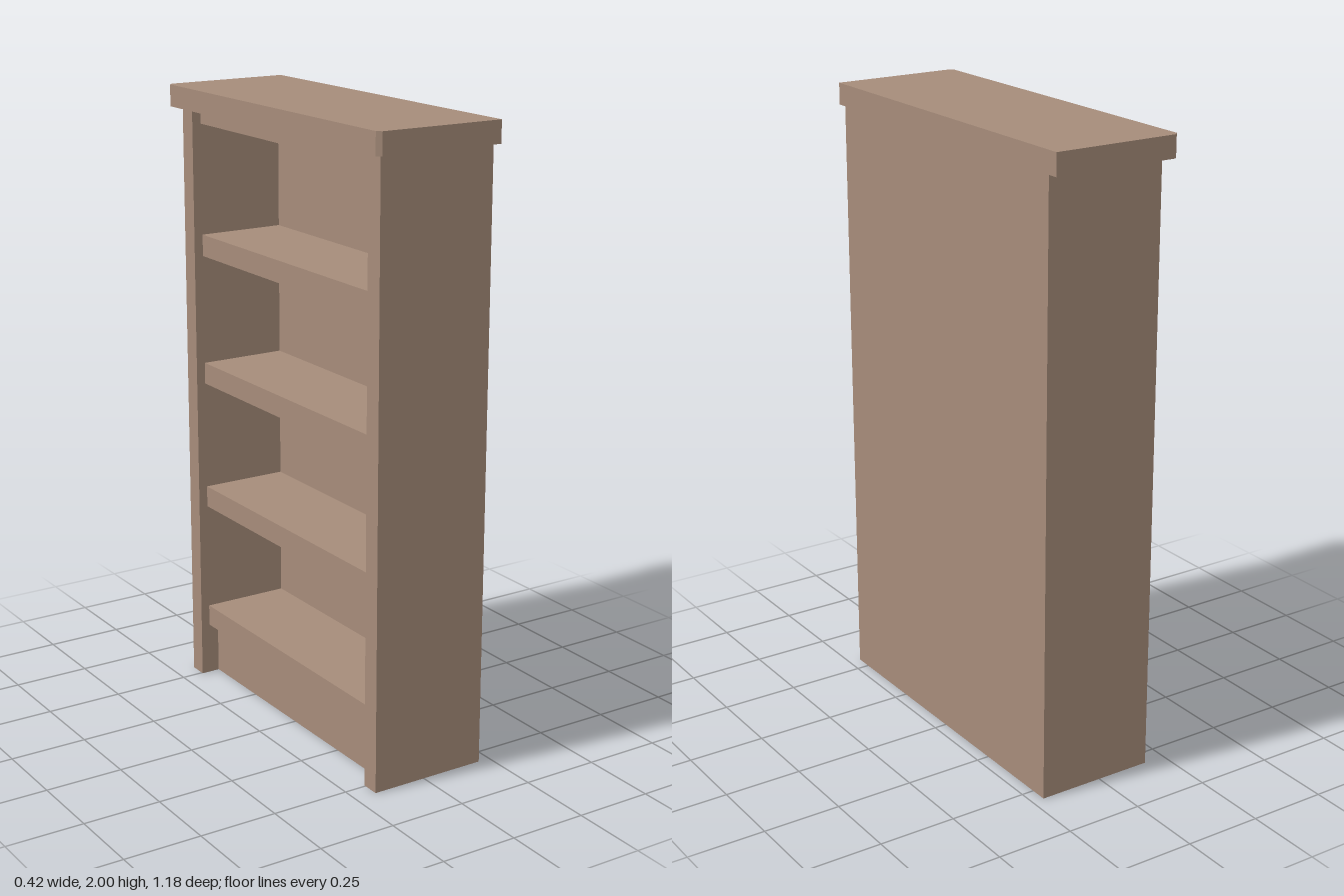
import * as THREE from 'three';

export function createModel() {
  const group = new THREE.Group();
  group.name = 'bookcase';
  const wood = new THREE.MeshStandardMaterial({ color: 0xa68c7a });
  wood.name = 'brown wood';

  const add = (name, geometry) => {
    const mesh = new THREE.Mesh(geometry, wood);
    mesh.name = name;
    group.add(mesh);
    return mesh;
  };
  // Box given by its lower and upper limits on each axis
  const box = (name, x0, x1, y0, y1, z0, z1) =>
    add(name, new THREE.BoxGeometry(x1 - x0, y1 - y0, z1 - z0))
      .position.set((x0 + x1) / 2, (y0 + y1) / 2, (z0 + z1) / 2);

  const back = 0.21, front = -0.178, inner = 0.14, shelfFront = -0.148;
  const halfWidth = 0.555, side = 0.495, lidBottom = 1.931;

  // Carcass: two sides and the back; the shelves open towards -x
  box('leftSide', front, back, 0, lidBottom, side, halfWidth);
  box('rightSide', front, back, 0, lidBottom, -halfWidth, -side);
  box('backPanel', inner, back, 0, lidBottom, -side, side);

  // Recessed plinth under the lowest shelf
  box('plinth', -0.115, inner, 0, 0.173, -side, side);

  // Evenly spaced shelves
  for (let i = 0; i < 4; i++) {
    const top = 0.243 + i * 0.427;
    box('shelf' + (i + 1), shelfFront, inner, top - 0.07, top, -side, side);
  }
  box('topRail', shelfFront, inner, 1.881, lidBottom, -side, side);

  // Overhanging lid with its two open-side corners clipped
  const z = 0.59, c = 0.013, x = -0.21;
  const outline = new THREE.Shape([
    [back, -z], [back, z], [x + c, z], [x, z - c], [x, -z + c], [x + c, -z],
  ].map(([px, pz]) => new THREE.Vector2(px, pz)));
  const lid = new THREE.ExtrudeGeometry(outline, { depth: 2 - lidBottom, bevelEnabled: false });
  lid.rotateX(-Math.PI / 2);
  add('lid', lid).position.y = lidBottom;

  return group;
}
